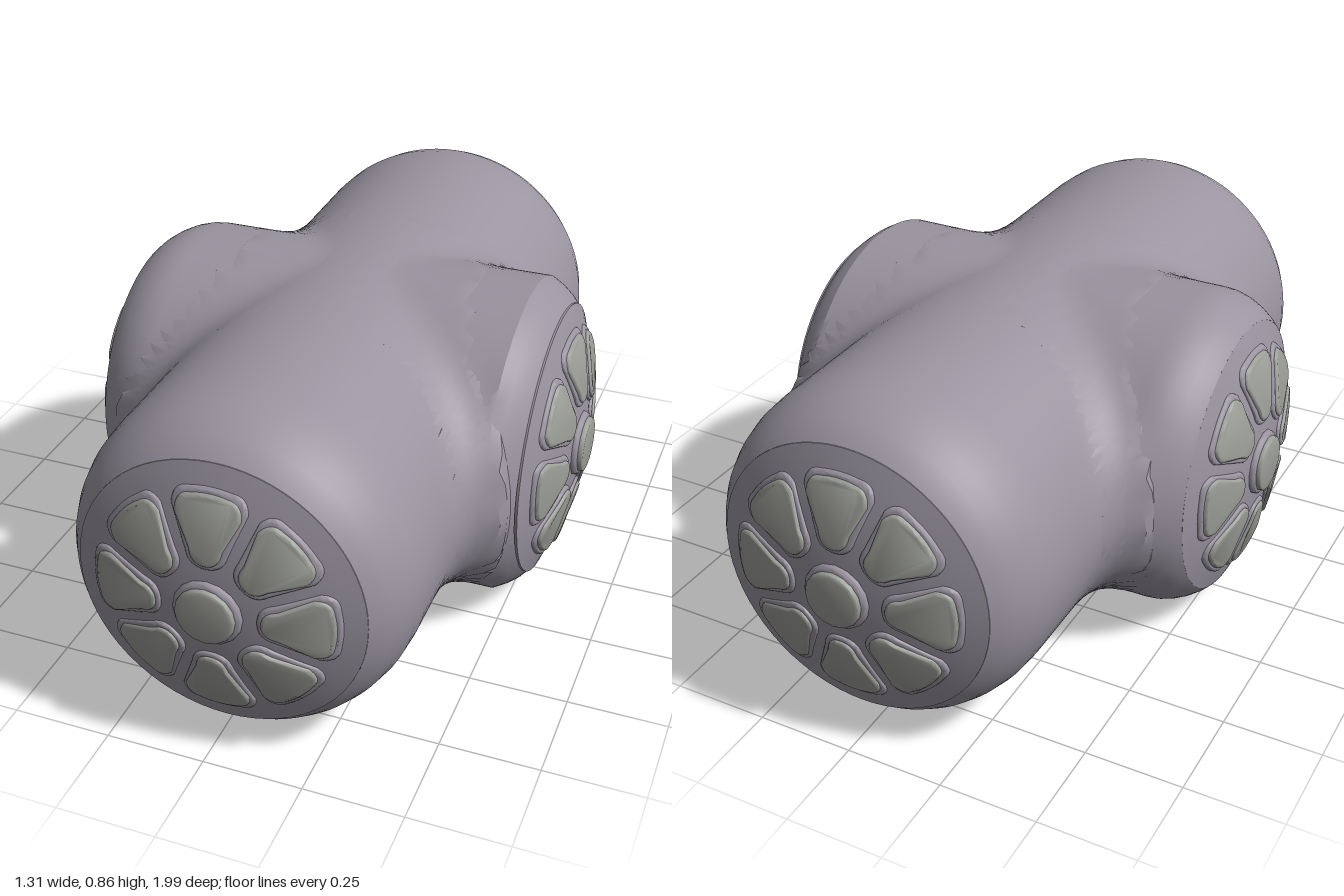
import * as THREE from 'three';
import { mergeVertices, toCreasedNormals } from 'three/addons/utils/BufferGeometryUtils.js';

const CX = 0.02, CY = 0.43;          // where the two tube axes cross
const R_MAIN = 0.427, R_CROSS = 0.415;
const CAP_R = 0.355, DOME = 0.07;

const bodyMat = new THREE.MeshStandardMaterial({ color: 0x9a94a0, side: THREE.DoubleSide });
const padMat = new THREE.MeshStandardMaterial({ color: 0x9c9e98 });

function add(parent, name, geometry, material) {
  const mesh = new THREE.Mesh(geometry, material);
  mesh.name = name;
  parent.add(mesh);
  return mesh;
}

// Smooth union of two distances; k is the fillet width
function smoothMin(a, b, k) {
  if (k < 1e-4) return Math.min(a, b);
  const h = Math.max(k - Math.abs(a - b), 0) / k;
  return Math.min(a, b) - h * h * k * 0.25;
}

// Tube along local y, filleted outwards where it meets the crossing tube.
// ends: [position, radius] points of the start and end shoulders
function tube(start, end, otherRadius) {
  const pts = start.map(([t, r]) => new THREE.Vector2(r, t));
  const [t0, r0] = start[start.length - 1], [t1, r1] = end[0];
  const steps = 56;
  for (let i = 1; i < steps; i++) {
    pts.push(new THREE.Vector2(r0 + (r1 - r0) * i / steps, t0 + (t1 - t0) * i / steps));
  }
  end.forEach(([t, r]) => pts.push(new THREE.Vector2(r, t)));
  let geo = new THREE.LatheGeometry(pts, 96);
  geo.deleteAttribute('uv');
  geo.deleteAttribute('normal');
  geo = mergeVertices(geo, 1e-4);
  const p = geo.attributes.position;
  for (let i = 0; i < p.count; i++) {
    // local z is the model's vertical, local x the other tube's axis
    const x = p.getX(i), t = p.getY(i), z = p.getZ(i);
    const r = Math.hypot(x, z), ux = x / r, uz = z / r;
    let rho = r;
    for (; rho < r + 0.1; rho += 0.001) {
      const other = Math.hypot(t, rho * uz) || 1e-6;
      const k = 0.16 * (1 - Math.abs(uz * rho * uz / other));
      if (smoothMin(rho - r, other - otherRadius, k) >= -1e-6) break;
    }
    p.setXYZ(i, ux * rho, t, uz * rho);
  }
  return toCreasedNormals(geo, 0.5);
}

const domeHeight = (r) => DOME * (1 - (r / CAP_R) ** 2);

// Bevelled pad, bent to follow the dome of the end cap
function pad(shape, height, bevel) {
  const geo = new THREE.ExtrudeGeometry(shape, {
    depth: height + 0.02 - bevel, bevelThickness: bevel, bevelSize: bevel,
    bevelOffset: -bevel, bevelSegments: 3, curveSegments: 8,
  });
  const p = geo.attributes.position;
  for (let i = 0; i < p.count; i++) {
    p.setZ(i, p.getZ(i) - 0.02 + domeHeight(Math.hypot(p.getX(i), p.getY(i))));
  }
  return toCreasedNormals(geo, 0.7);
}

// Rounded wedge pointing at the hub; grow widens it on all sides
function petalShape(grow) {
  const a = 0.128 - grow, b = 0.295 + grow, wi = 0.04 + grow, wo = 0.08 + grow;
  const s = new THREE.Shape();
  s.moveTo(a, 0);
  s.quadraticCurveTo(a, wi * 0.85, a + 0.04, wi);
  s.lineTo(b - 0.05, wo);
  s.quadraticCurveTo(b - 0.008, wo, b - 0.006, wo * 0.55);
  s.quadraticCurveTo(b + 0.004, 0, b - 0.006, -wo * 0.55);
  s.quadraticCurveTo(b - 0.008, -wo, b - 0.05, -wo);
  s.lineTo(a + 0.04, -wi);
  s.quadraticCurveTo(a, -wi * 0.85, a, 0);
  return s;
}

function disc(radius) {
  return new THREE.Shape().absarc(0, 0, radius, 0, Math.PI * 2, false);
}

// Domed end cap with eight petals around a hub, facing +z
function endCap() {
  const cap = new THREE.Group();
  const profile = [new THREE.Vector2(CAP_R, -0.015)];
  for (let i = 0; i <= 12; i++) {
    const r = CAP_R * (1 - i / 12);
    profile.push(new THREE.Vector2(r, domeHeight(r)));
  }
  const dome = new THREE.LatheGeometry(profile, 64).rotateX(Math.PI / 2);
  dome.deleteAttribute('uv');
  add(cap, 'capDome', toCreasedNormals(dome, 0.6), bodyMat);

  const surround = pad(petalShape(0.011), 0.008, 0.007);
  const petal = pad(petalShape(0), 0.015, 0.007);
  for (let i = 0; i < 8; i++) {
    add(cap, 'petalSurround', surround, bodyMat).rotation.z = i * Math.PI / 4;
    add(cap, 'petal', petal, padMat).rotation.z = i * Math.PI / 4;
  }
  add(cap, 'hubSurround', pad(disc(0.085), 0.013, 0.01), bodyMat);
  add(cap, 'hub', pad(disc(0.073), 0.025, 0.007), padMat);
  return cap;
}

export function createModel() {
  const model = new THREE.Group();
  model.name = 'crossJunction';

  // Long tube, front to back
  const shoulder = [[0.7, R_MAIN], [0.76, 0.423], [0.81, 0.411], [0.85, 0.394], [0.88, 0.374], [0.9, CAP_R]];
  const mirrored = shoulder.map(([t, r]) => [-t, r]).reverse();
  const main = add(model, 'mainTube', tube(mirrored, shoulder, R_CROSS).rotateX(Math.PI / 2), bodyMat);
  main.position.set(CX, CY, 0);

  // Short tube, side to side: soft shoulder on the right, crisp edge on the left
  const soft = [[-0.56, CAP_R], [-0.545, 0.37], [-0.52, 0.388], [-0.49, 0.403], [-0.46, 0.412], [-0.43, R_CROSS]];
  const crisp = [[0.48, R_CROSS], [0.51, 0.398], [0.535, 0.378], [0.555, CAP_R]];
  const crossGeo = tube(
    soft.map(([t, r]) => [t - CX, r]), crisp.map(([t, r]) => [t - CX, r]), R_MAIN);
  // local y -> x, local z -> y, local x -> z
  crossGeo.applyMatrix4(new THREE.Matrix4().makeBasis(
    new THREE.Vector3(0, 0, 1), new THREE.Vector3(1, 0, 0), new THREE.Vector3(0, 1, 0)));
  add(model, 'crossTube', crossGeo, bodyMat).position.set(CX, CY, 0);

  // End caps
  const ends = [
    ['frontCap', CX, 0.902, 0], ['backCap', CX, -0.902, Math.PI],
    ['leftCap', 0.56, 0, Math.PI / 2], ['rightCap', -0.56, 0, -Math.PI / 2],
  ];
  for (const [name, x, z, turn] of ends) {
    const cap = endCap();
    cap.name = name;
    cap.position.set(x, CY, z);
    cap.rotation.y = turn;
    model.add(cap);
  }
  return model;
}
